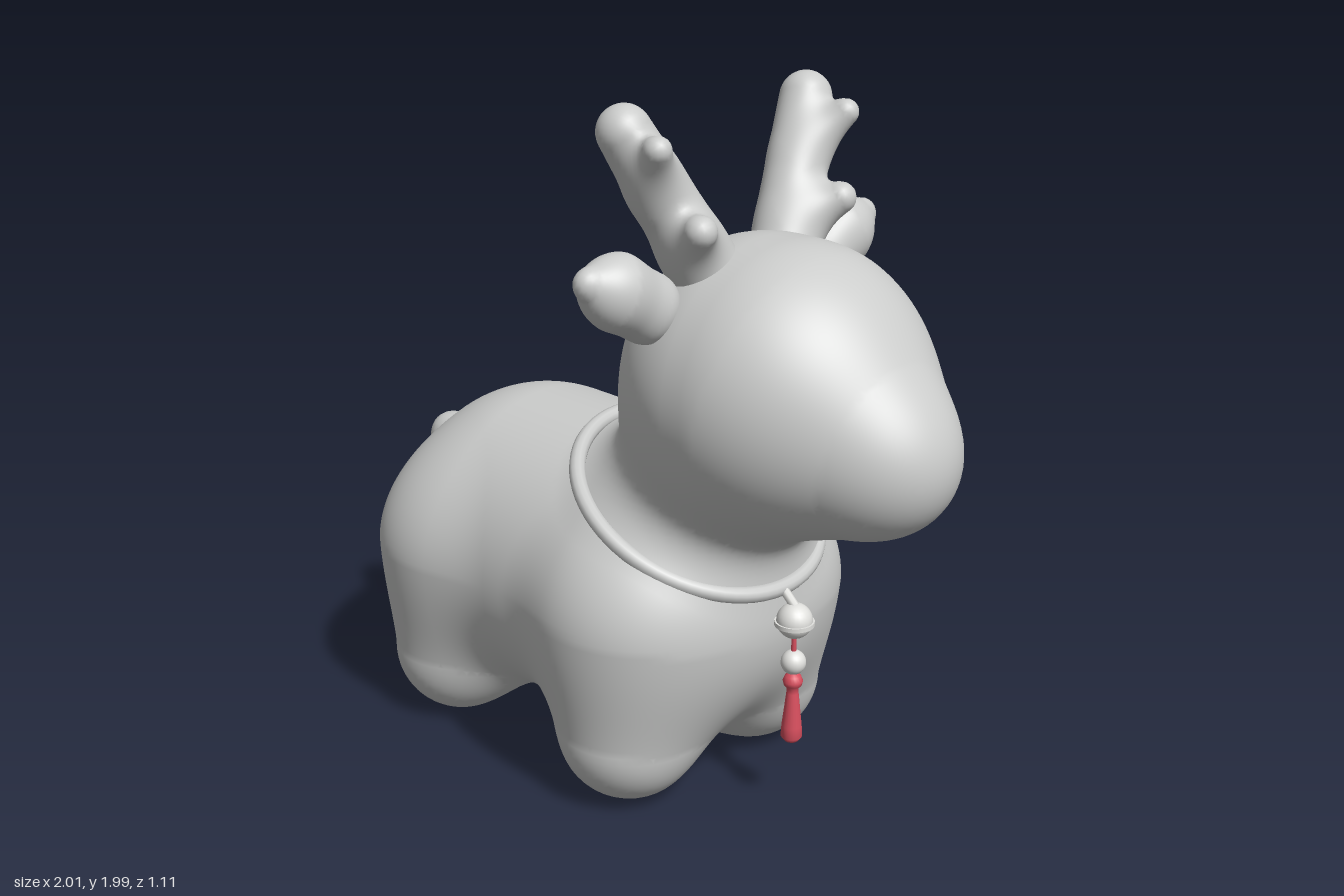
import * as THREE from 'three';

const MID = -0.012; // mirror plane of the animal

// ---- soft volume helpers ----
const blend = (a, b, k) => {
  const h = Math.max(k - Math.abs(a - b), 0) / k;
  return Math.min(a, b) - h * h * k / 4;
};

// Distance to a limb running from a to b, with radius ra growing to rb
function limb(p, a, b, ra, rb) {
  const d = [b[0] - a[0], b[1] - a[1], b[2] - a[2]];
  const q = [p[0] - a[0], p[1] - a[1], p[2] - a[2]];
  let t = (q[0] * d[0] + q[1] * d[1] + q[2] * d[2]) / (d[0] * d[0] + d[1] * d[1] + d[2] * d[2]);
  t = Math.min(1, Math.max(0, t));
  return Math.hypot(q[0] - d[0] * t, q[1] - d[1] * t, q[2] - d[2] * t) - ra - (rb - ra) * t;
}

// Skins a distance field with a quad net, with smooth normals from its gradient
function skin(field, min, max, step) {
  const n = [0, 1, 2].map((i) => Math.ceil((max[i] - min[i]) / step) + 1);
  const stride = [1, n[0], n[0] * n[1]];
  const at = (i, j, k) => [min[0] + i * step, min[1] + j * step, min[2] + k * step];
  const gradient = (p) => {
    const e = 0.004;
    const g = [0, 1, 2].map((i) => {
      const a = p.slice(), b = p.slice();
      a[i] += e;
      b[i] -= e;
      return field(a) - field(b);
    });
    const l = Math.hypot(...g) || 1;
    return g.map((v) => v / l);
  };
  const value = new Float32Array(n[0] * n[1] * n[2]);
  const each = (lo, hi, fn) => {
    for (let k = lo; k < n[2] - hi; k++)
      for (let j = lo; j < n[1] - hi; j++)
        for (let i = lo; i < n[0] - hi; i++) fn(i, j, k, i + j * stride[1] + k * stride[2]);
  };
  each(0, 0, (i, j, k, id) => { value[id] = field(at(i, j, k)); });

  const vertex = new Int32Array(value.length).fill(-1);
  const positions = [], normals = [], index = [];
  // One vertex in every cell the surface crosses
  each(0, 1, (i, j, k, id) => {
    const sum = [0, 0, 0];
    let count = 0;
    for (let c = 0; c < 8; c++) {
      const o = [c & 1, (c >> 1) & 1, c >> 2];
      const corner = id + o[0] + o[1] * stride[1] + o[2] * stride[2];
      for (let a = 0; a < 3; a++) {
        if (o[a]) continue;
        const v = value[corner], w = value[corner + stride[a]];
        if ((v < 0) === (w < 0)) continue;
        for (let b = 0; b < 3; b++) sum[b] += b === a ? v / (v - w) : o[b];
        count++;
      }
    }
    if (!count) return;
    let p = at(i + sum[0] / count, j + sum[1] / count, k + sum[2] / count);
    const g = gradient(p), d = field(p);
    p = p.map((v, a) => v - g[a] * d);
    vertex[id] = positions.length / 3;
    positions.push(...p);
    normals.push(...gradient(p));
  });
  // One quad around every grid edge the surface crosses
  each(1, 1, (i, j, k, id) => {
    for (let a = 0; a < 3; a++) {
      const inside = value[id] < 0;
      if (inside === (value[id + stride[a]] < 0)) continue;
      const b = stride[(a + 1) % 3], c = stride[(a + 2) % 3];
      const q = [id - b - c, id - c, id, id - b].map((v) => vertex[v]);
      if (!inside) q.reverse();
      index.push(q[0], q[1], q[2], q[0], q[2], q[3]);
    }
  });
  const geometry = new THREE.BufferGeometry();
  geometry.setAttribute('position', new THREE.Float32BufferAttribute(positions, 3));
  geometry.setAttribute('normal', new THREE.Float32BufferAttribute(normals, 3));
  geometry.setIndex(index);
  return geometry;
}

// ---- part volumes ----
function bodyField(point) {
  const p = [point[0], point[1], point[2] - MID];
  // torso and four stubby legs
  let d = limb(p, [-0.48, 0.555, 0], [0.04, 0.555, 0], 0.442, 0.442);
  for (const s of [1, -1]) {
    d = blend(d, limb(p, [-0.6, 0.208, 0.25 * s], [-0.59, 0.54, 0.22 * s], 0.203, 0.252), 0.15);
    d = blend(d, limb(p, [0.14, 0.208, 0.25 * s], [0.15, 0.54, 0.22 * s], 0.203, 0.252), 0.15);
  }
  // stubby tail melting into the rump
  let tail = limb(p, [-0.86, 0.71, 0], [-0.905, 0.725, 0], 0.11, 0.078);
  tail = blend(tail, limb(p, [-0.95, 0.75, 0], [-0.965, 0.69, 0], 0.033, 0.033), 0.07);
  d = blend(d, tail, 0.07);
  // head with muzzle, then the neck joining it to the torso
  let head = limb(p, [0.405, 1.25, 0], [0.47, 1.25, 0], 0.383, 0.383);
  head = blend(head, limb(p, [0.5, 1.2, 0], [0.8, 1.13, 0], 0.28, 0.2), 0.18);
  head = blend(head, limb(p, [0.15, 0.8, 0], [0.3, 1.05, 0], 0.28, 0.28), 0.14);
  return blend(d, head, 0.12);
}

function antlerField(point) {
  const p = [point[0], point[1], Math.abs(point[2] + 0.006)];
  let d = limb(p, [0.335, 1.54, 0.14], [0.228, 1.92, 0.335], 0.095, 0.071);
  d = blend(d, limb(p, [0.27, 1.77, 0.27], [0.358, 1.895, 0.347], 0.05, 0.036), 0.06);
  return blend(d, limb(p, [0.32, 1.61, 0.19], [0.422, 1.69, 0.262], 0.065, 0.042), 0.06);
}

function earField(point) {
  // narrowed a little along x to form a leaf
  const p = [0.295 + (point[0] - 0.295) * 1.12, point[1], Math.abs(point[2])];
  const d = limb(p, [0.295, 1.485, 0.32], [0.295, 1.548, 0.425], 0.094, 0.092);
  return blend(d, limb(p, [0.295, 1.55, 0.43], [0.295, 1.585, 0.515], 0.083, 0.039), 0.05);
}

export function createModel() {
  const grey = new THREE.MeshStandardMaterial({ color: 0xcbcccb });
  grey.name = 'soft grey';
  const pale = new THREE.MeshStandardMaterial({ color: 0xe0e0dd });
  pale.name = 'pale bead grey';
  const red = new THREE.MeshStandardMaterial({ color: 0xd9505f });
  red.name = 'tassel red';

  const model = new THREE.Group();
  model.name = 'youngDeer';
  const add = (name, geometry, material, parent = model) => {
    const mesh = new THREE.Mesh(geometry, material);
    mesh.name = name;
    parent.add(mesh);
    return mesh;
  };

  add('body', skin(bodyField, [-1.06, -0.06, -0.62], [1.08, 1.72, 0.6], 0.022), grey);

  // Ears and antlers, one of each per side
  for (const side of [1, -1]) {
    const name = side > 0 ? 'Front' : 'Back';
    const z = (near, far) => (side > 0 ? [near, far] : [-far, -near]);
    const [a0, a1] = z(0.01, 0.45), [e0, e1] = z(0.17, 0.6);
    add('antler' + name, skin(antlerField, [0.12, 1.4, a0], [0.5, 2.04, a1], 0.013), grey);
    add('ear' + name, skin(earField, [0.16, 1.35, e0], [0.43, 1.69, e1], 0.013), grey);
  }

  // Collar tilted around the base of the neck
  const collar = add('collar', new THREE.TorusGeometry(0.357, 0.023, 12, 72), grey);
  collar.quaternion.setFromUnitVectors(
    new THREE.Vector3(0, 0, 1), new THREE.Vector3(0.48, 0.877, 0).normalize());
  collar.position.set(0.165, 0.84, MID);

  // Hanging charm: bell, bead and tassel
  const charm = new THREE.Group();
  charm.name = 'charm';
  charm.position.set(0.53, 0, -0.008);
  model.add(charm);
  const ball = (name, radius, y) =>
    add(name, new THREE.SphereGeometry(radius, 24, 16), pale, charm).position.set(0, y, 0);
  ball('bell', 0.05, 0.588);
  ball('bead', 0.035, 0.463);
  add('bellRim', new THREE.CylinderGeometry(0.055, 0.055, 0.012, 28), pale, charm).position.y = 0.582;
  const hook = new THREE.LineCurve3(new THREE.Vector3(-0.045, 0.67, 0), new THREE.Vector3(0, 0.63, 0));
  add('bellHook', new THREE.TubeGeometry(hook, 1, 0.013, 8), pale, charm);
  add('cord', new THREE.CylinderGeometry(0.007, 0.007, 0.14, 8), red, charm).position.y = 0.48;
  const profile = [[0, 0.222], [0.02, 0.224], [0.03, 0.237], [0.028, 0.27], [0.017, 0.37], [0.016, 0.385],
    [0.025, 0.395], [0.028, 0.407], [0.022, 0.422], [0.01, 0.432], [0, 0.434]];
  add('tassel', new THREE.LatheGeometry(profile.map(([x, y]) => new THREE.Vector2(x, y)), 20), red, charm);

  return model;
}
